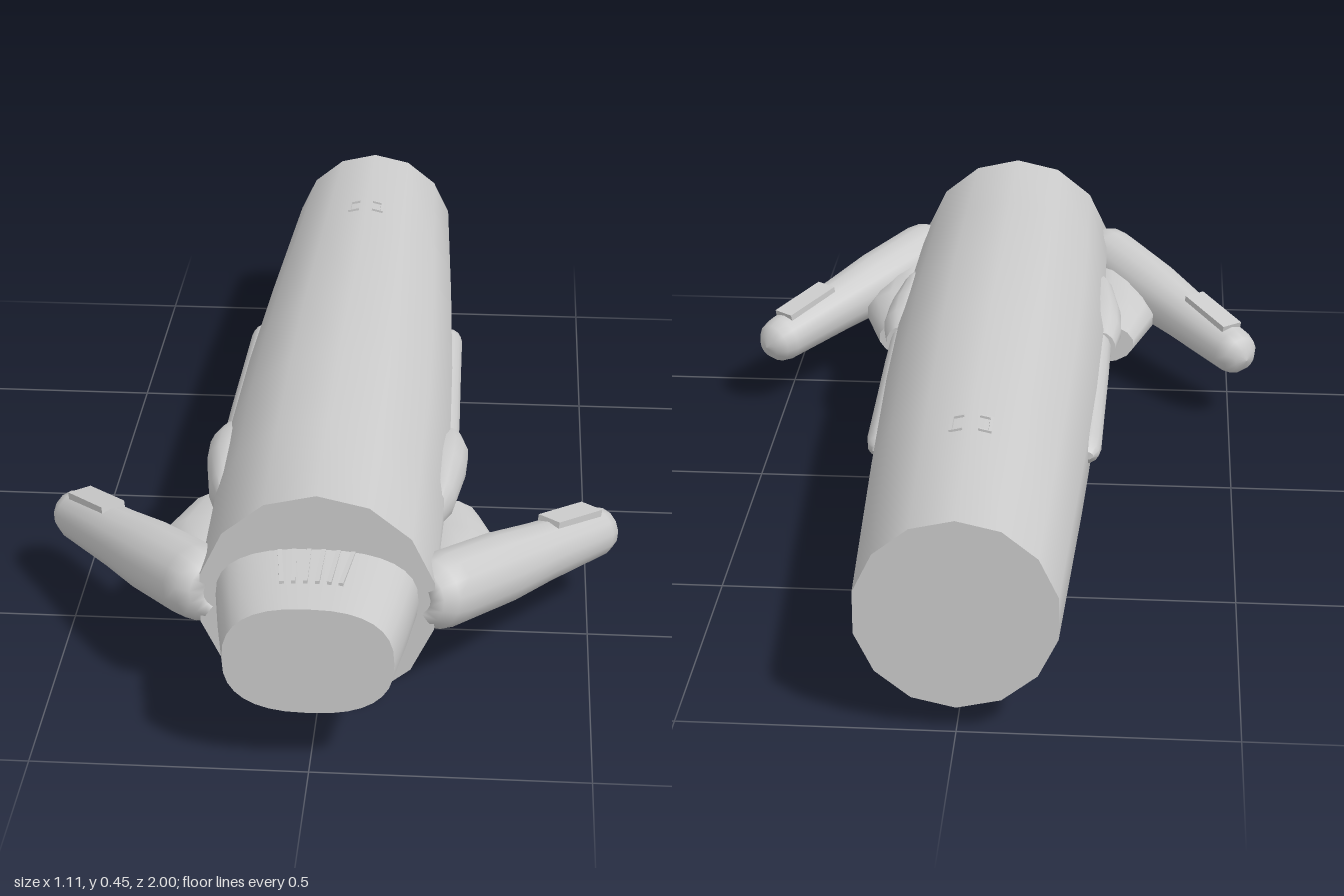
import * as THREE from 'three';

const material = new THREE.MeshStandardMaterial({ color: 0xcccccc });

// Oval sections [z, cx, cy, rx, ry], listed front to back, joined into a capped tube
function loft(sections, sides, power = 2) {
  const pos = [], index = [];
  const round = (v) => Math.sign(v) * Math.abs(v) ** (2 / power);
  const ring = ([z, cx, cy, rx, ry]) => {
    for (let j = 0; j < sides; j++) {
      const a = (j / sides) * Math.PI * 2;
      pos.push(cx + rx * round(Math.sin(a)), cy + ry * round(Math.cos(a)), z);
    }
  };
  sections.forEach(ring);
  for (let i = 0; i < sections.length - 1; i++) {
    for (let j = 0; j < sides; j++) {
      const a = i * sides + j, b = i * sides + ((j + 1) % sides);
      index.push(a, b, a + sides, b, b + sides, a + sides);
    }
  }
  // flat end caps with their own vertices
  [sections[0], sections[sections.length - 1]].forEach((s, end) => {
    const start = pos.length / 3;
    ring(s);
    pos.push(s[1], s[2], s[0]);
    for (let j = 0; j < sides; j++) {
      const a = start + j, b = start + ((j + 1) % sides);
      index.push(start + sides, end ? a : b, end ? b : a);
    }
  });
  const g = new THREE.BufferGeometry();
  g.setAttribute('position', new THREE.Float32BufferAttribute(pos, 3));
  g.setIndex(index);
  g.computeVertexNormals();
  return g;
}

function add(parent, name, geometry, x = 0, y = 0, z = 0) {
  const mesh = new THREE.Mesh(geometry, material);
  mesh.name = name;
  mesh.position.set(x, y, z);
  parent.add(mesh);
  return mesh;
}

// Tapered arm with a dimpled shoulder, rounded tip and raised panel
function makeArm(side) {
  const arm = new THREE.Group();
  arm.name = side > 0 ? 'leftArm' : 'rightArm';
  const from = new THREE.Vector3(0.22 * side, 0.23, 0.742);
  const to = new THREE.Vector3(0.505 * side, 0.158, 0.375);
  const dir = to.clone().sub(from);
  const length = dir.length();
  dir.normalize();
  const across = new THREE.Vector3().crossVectors(new THREE.Vector3(0, 1, 0), dir).normalize();
  const up = new THREE.Vector3().crossVectors(dir, across);
  // local y runs along the arm, local z points up
  arm.quaternion.setFromRotationMatrix(new THREE.Matrix4().makeBasis(across.clone().negate(), dir, up));
  arm.position.copy(from);

  const profile = [
    [0, -0.02], [0.028, -0.062], [0.05, -0.05], [0.066, -0.025], [0.071, 0.01],
    [0.069, length * 0.35], [0.06, length * 0.6], [0.051, length],
    [0.044, length + 0.026], [0.026, length + 0.044], [0, length + 0.051],
  ].map(([r, y]) => new THREE.Vector2(r, y));
  add(arm, 'armShell', new THREE.LatheGeometry(profile, 14));

  const panel = add(arm, 'armPanel', new THREE.BoxGeometry(0.05, 0.14, 0.03), 0, length * 0.82, 0.047);
  panel.rotation.x = -0.05;
  return arm;
}

export function createModel() {
  const model = new THREE.Group();

  // Main barrel
  add(model, 'body', loft([
    [0.8, 0, 0.23, 0.217, 0.217], [0.5, 0, 0.228, 0.223, 0.223], [0.2, 0, 0.2275, 0.2265, 0.2265],
    [-0.1, 0, 0.229, 0.221, 0.221], [-0.5, 0, 0.231, 0.206, 0.206], [-1, 0, 0.2325, 0.183, 0.183],
  ], 14));

  // Oval nose
  add(model, 'nose', loft([
    [1, 0, 0.23, 0.15, 0.105], [0.9, 0, 0.234, 0.168, 0.104], [0.78, 0, 0.24, 0.186, 0.1],
  ], 32, 2.5));

  // Slats fanned over the nose
  for (let i = 0; i < 6; i++) {
    const k = (i - 2.5) / 2.5;
    const x = k * 0.059;
    const y = 0.235 + 0.103 * (1 - Math.abs(x / 0.172) ** 2.5) ** 0.4;
    const slat = add(model, 'noseSlat', new THREE.BoxGeometry(0.008, 0.008, 0.12), x, y, 0.857);
    slat.rotation.set(-0.02, -k * 0.12, 0);
  }

  for (const side of [1, -1]) {
    model.add(makeArm(side));

    // Pod tucked under the arm, with a flat rear face
    add(model, 'lowerPod', loft([
      [0.74, 0.21, 0.2, 0.03, 0.05], [0.62, 0.23, 0.185, 0.075, 0.058],
      [0.5, 0.23, 0.175, 0.098, 0.058], [0.365, 0.215, 0.17, 0.07, 0.045],
    ].map(([z, x, ...r]) => [z, x * side, ...r]), 14));

    // Side fairing behind the arm
    add(model, 'sideFairing', loft([
      [0.5, 0.205, 0.255, 0.012, 0.03], [0.44, 0.208, 0.252, 0.03, 0.046],
      [0.32, 0.212, 0.253, 0.044, 0.047], [0.24, 0.212, 0.25, 0.047, 0.043],
      [0.175, 0.212, 0.242, 0.035, 0.035],
    ].map(([z, x, ...r]) => [z, x * side, ...r]), 14));

    // Long slim rail with a rounded end
    add(model, 'sideRail', loft([
      [0.19, 0.21, 0.238, 0.028, 0.036], [0.05, 0.207, 0.238, 0.03, 0.037],
      [-0.15, 0.203, 0.237, 0.031, 0.035], [-0.31, 0.2, 0.236, 0.032, 0.032],
      [-0.34, 0.198, 0.236, 0.03, 0.024], [-0.355, 0.195, 0.236, 0.022, 0.01],
    ].map(([z, x, ...r]) => [z, x * side, ...r]), 14));

    // Raised bracket on the rear top of the body
    const bracket = new THREE.Group();
    bracket.name = 'topBracket';
    bracket.position.set(0.03 * side, 0.425, -0.632);
    bracket.rotation.set(-0.045, 0, -0.225 * side);
    add(bracket, 'bracketBar', new THREE.BoxGeometry(0.006, 0.008, 0.056), 0.006 * side);
    for (const z of [-0.026, 0.026]) {
      add(bracket, 'bracketTab', new THREE.BoxGeometry(0.024, 0.008, 0.005), -0.004 * side, 0, z);
    }
    model.add(bracket);
  }
  return model;
}
